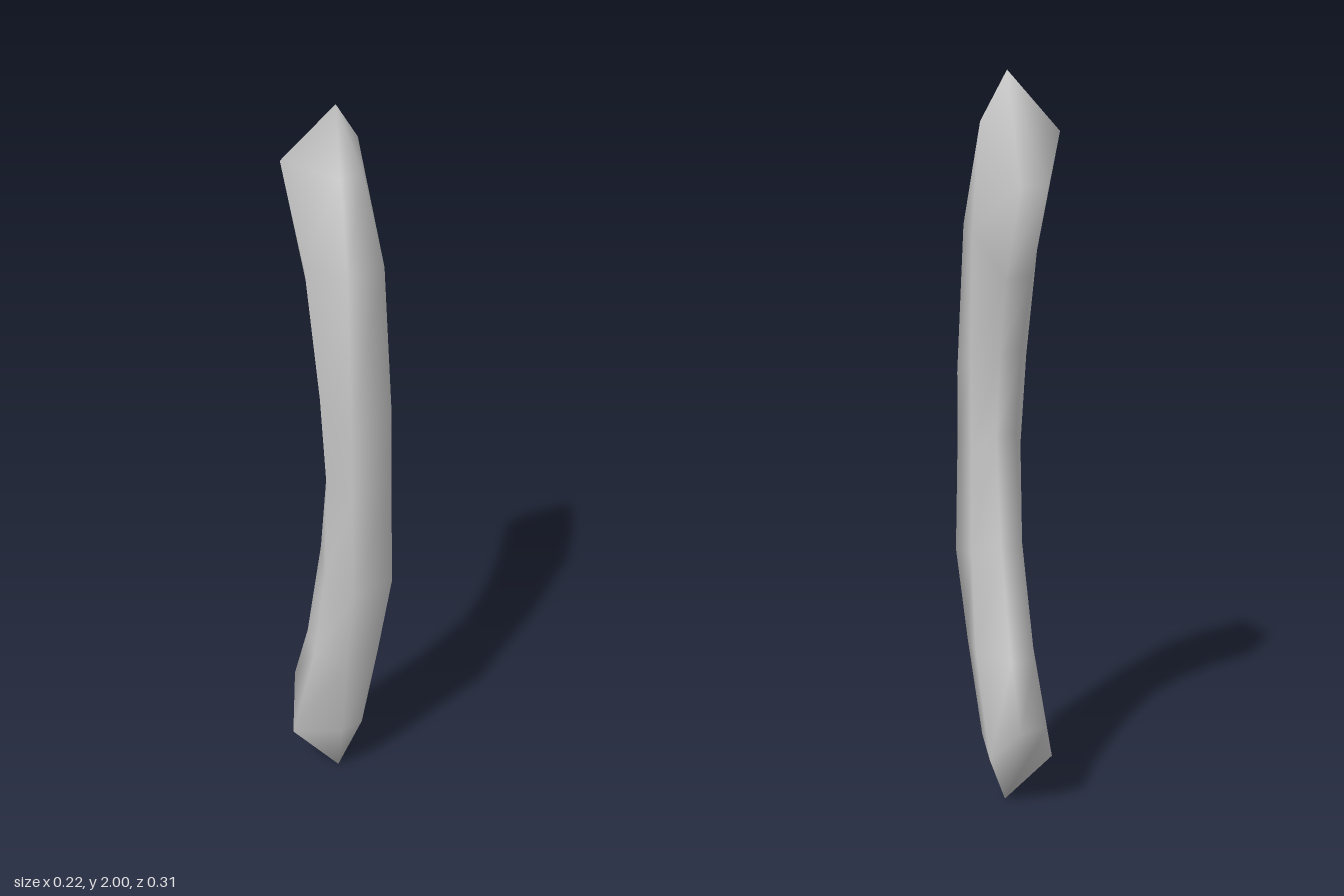
import * as THREE from 'three';

// Sections from top to bottom. Each is a tilted six-sided ring:
// front [y, z], left side [x, y, z], right side [x, y, z], back [y, z], front width ratio
const SECTIONS = [
  { front: [1.83, 0.05], left: [0.11, 1.88, -0.06], right: [-0.095, 1.85, -0.11], back: [1.72, -0.153], flat: 0.35 },
  { front: [1.6, 0.11], left: [0.098, 1.6, 0.0], right: [-0.1, 1.6, -0.01], back: [1.48, -0.075], flat: 0.6 },
  { front: [1.2, 0.145], left: [0.075, 1.25, 0.05], right: [-0.092, 1.25, 0.04], back: [1.28, -0.03], flat: 0.8 },
  { front: [1.0, 0.15], left: [0.068, 1.0, 0.06], right: [-0.087, 1.0, 0.06], back: [1.05, -0.005], flat: 0.85 },
  { front: [0.7, 0.157], left: [0.076, 0.72, 0.05], right: [-0.093, 0.72, 0.06], back: [0.75, -0.035], flat: 0.8 },
  { front: [0.45, 0.112], left: [0.086, 0.45, 0.01], right: [-0.1, 0.45, 0.02], back: [0.44, -0.095], flat: 0.6 },
  { front: [0.18, 0.065], left: [0.098, 0.17, -0.08], right: [-0.11, 0.13, -0.07], back: [0.26, -0.153], flat: 0.35 },
];
const SIDES = 6;

function ring({ front, left, right, back, flat }) {
  return [
    [right[0] * flat, ...front], [left[0] * flat, ...front], left,
    [left[0] * 0.45, ...back], [right[0] * 0.35, ...back], right,
  ];
}

export function createModel() {
  const points = SECTIONS.flatMap(ring);
  const topTip = points.push([0, 2, -0.01]) - 1;
  const bottomTip = points.push([0, 0, 0]) - 1;
  const last = (SECTIONS.length - 1) * SIDES;

  const index = [];
  for (let j = 0; j < SIDES; j++) {
    const k = (j + 1) % SIDES;
    // pointed ends
    index.push(topTip, j, k, bottomTip, last + k, last + j);
    // curved shaft
    for (let i = 0; i < last; i += SIDES) {
      const lower = i + SIDES;
      index.push(lower + j, lower + k, i + k, lower + j, i + k, i + j);
    }
  }

  const geometry = new THREE.BufferGeometry();
  geometry.setAttribute('position', new THREE.Float32BufferAttribute(points.flat(), 3));
  geometry.setIndex(index);
  geometry.computeVertexNormals();

  const shaft = new THREE.Mesh(geometry, new THREE.MeshStandardMaterial({ color: 0xcccccc }));
  shaft.name = 'curvedShaft';
  const group = new THREE.Group();
  group.name = 'curvedRod';
  group.add(shaft);
  return group;
}
